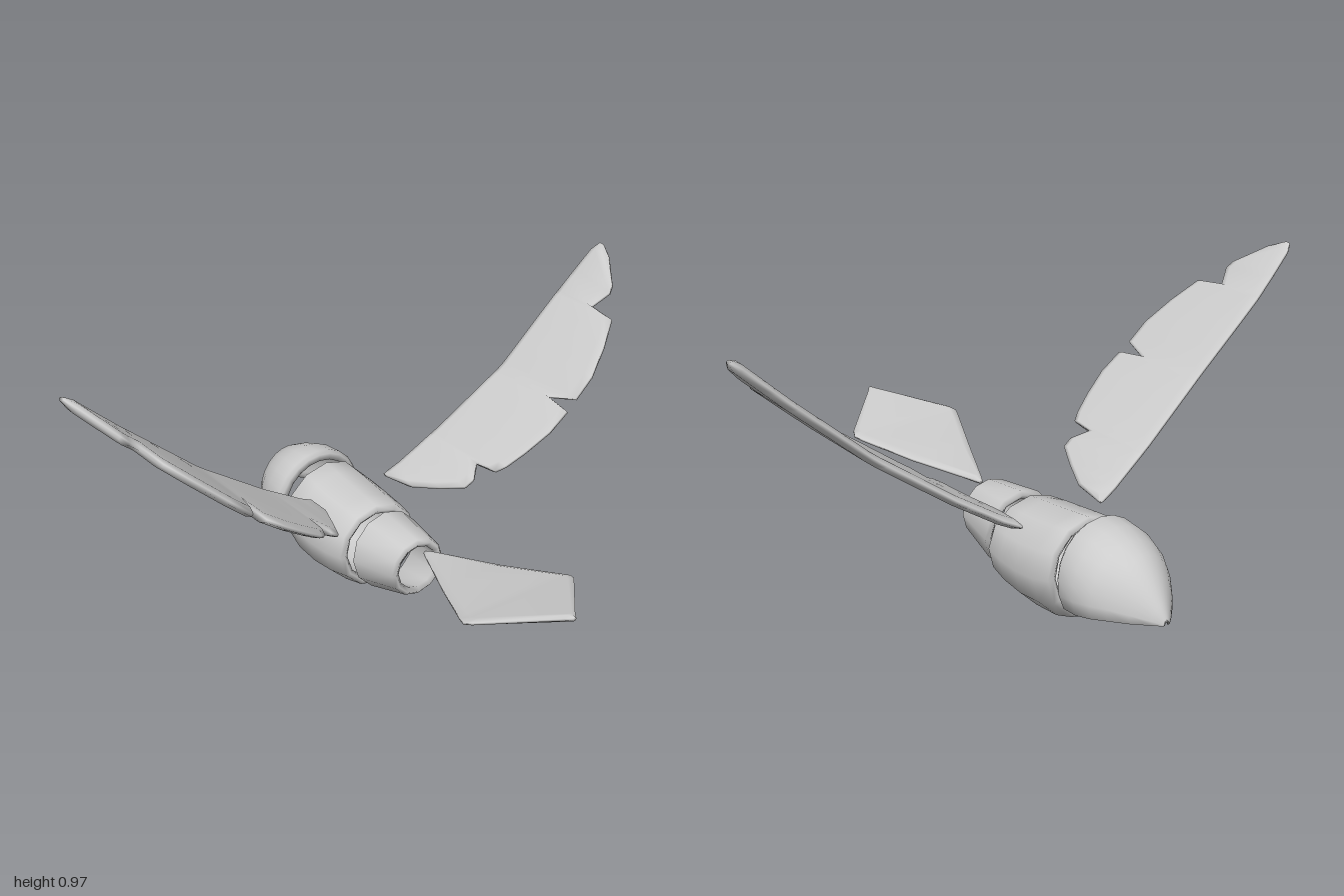
import * as THREE from 'three';

const grey = new THREE.MeshStandardMaterial({ color: 0xcccccc });
grey.name = 'plain grey';

const V = (x, y, z) => new THREE.Vector3(x, y, z);

// Piecewise linear lookup through [position, value] pairs
function interp(pairs, t) {
  for (let i = 1; i < pairs.length; i++) {
    const [a, va] = pairs[i - 1], [b, vb] = pairs[i];
    if (t <= b || i === pairs.length - 1) return va + (vb - va) * (t - a) / (b - a);
  }
}

// Skin a list of closed rings; either wrap last to first or cap both ends
function loft(name, rings, wrap = false) {
  const n = rings.length, m = rings[0].length, idx = [];
  const quad = (a, b, c, d) => idx.push(a, b, d, b, c, d);
  for (let i = 0; i < (wrap ? n : n - 1); i++) {
    const p = i * m, q = ((i + 1) % n) * m;
    for (let j = 0; j < m; j++) {
      const k = (j + 1) % m;
      quad(p + j, p + k, q + k, q + j);
    }
  }
  if (!wrap) {
    const e = (n - 1) * m;
    for (let j = 0; j < m / 2 - 1; j++) {
      quad(j, m - 1 - j, m - 2 - j, j + 1);
      quad(e + j, e + j + 1, e + m - 2 - j, e + m - 1 - j);
    }
  }
  // Turn the faces outward when the enclosed volume is negative
  const pts = rings.flat();
  let volume = 0;
  for (let i = 0; i < idx.length; i += 3) {
    volume += pts[idx[i]].dot(V(0, 0, 0).crossVectors(pts[idx[i + 1]], pts[idx[i + 2]]));
  }
  if (volume < 0) idx.reverse();
  const geo = new THREE.BufferGeometry().setFromPoints(pts);
  geo.setIndex(idx);
  geo.computeVertexNormals();
  const mesh = new THREE.Mesh(geo, grey);
  mesh.name = name;
  return mesh;
}

// Hollow body segment; stations are [xTop, yTop, xBottom, yBottom, halfWidth]
function tube(name, stations, wall) {
  const sides = 12;
  const ring = ([xt, yt, xb, yb, w], inset) => {
    const pts = [];
    for (let j = 0; j < sides; j++) {
      const a = j / sides * Math.PI * 2, u = (1 + Math.cos(a)) / 2;
      pts.push(V(xb + (xt - xb) * u, yb + inset + (yt - yb - 2 * inset) * u, Math.sin(a) * (w - inset)));
    }
    return pts;
  };
  const outer = stations.map(s => ring(s, 0));
  const inner = stations.slice(1, -1).reverse().map(s => ring(s, wall));
  return loft(name, [...outer, ...inner], true);
}

// Flat bevelled section from a to b with half thickness h
function plate(a, b, h, place) {
  const e = Math.min(0.025, (b - a) / 3);
  const top = [[a, 0.3 * h], [a + e, h], [b - e, h], [b, 0.3 * h]];
  const bottom = top.map(([s, t]) => [s, -t]).reverse();
  return [...top, ...bottom].map(([s, t]) => place(s, t));
}

// Open-bottomed pointed head; stations are [xTop, xBottom, yTop, yCentre, yBottom, halfWidth]
function makeHead() {
  const steps = 14;
  const stations = [
    [-0.786, -0.786, 0.165, 0.148, 0.146, 0.012],
    [-0.765, -0.765, 0.205, 0.150, 0.147, 0.037],
    [-0.72, -0.72, 0.268, 0.155, 0.147, 0.083],
    [-0.67, -0.67, 0.315, 0.165, 0.146, 0.122],
    [-0.62, -0.625, 0.340, 0.178, 0.140, 0.148],
    [-0.56, -0.57, 0.361, 0.19, 0.130, 0.163],
    [-0.49, -0.505, 0.368, 0.2, 0.120, 0.163],
    [-0.476, -0.493, 0.358, 0.2, 0.122, 0.153],
  ];
  return loft('head', stations.map(([xt, xb, yt, yc, yb, w]) => {
    const arc = inset => {
      const h = Math.max(yt - yc - inset, (yt - yc) * 0.4);
      const hw = Math.max(w - inset, w * 0.4);
      const start = Math.asin(Math.max(-1, (yb - yc) / h)), pts = [];
      for (let j = 0; j <= steps; j++) {
        const a = start + (Math.PI - 2 * start) * j / steps;
        const y = yc + Math.sin(a) * h;
        pts.push(V(xb + (xt - xb) * (y - yb) / (yt - yb), y, Math.cos(a) * hw));
      }
      return pts;
    };
    return [...arc(0), ...arc(0.022).reverse()];
  }));
}

// Notched wing, rising outward along z
function makeWing(name) {
  const leading = [[0.15, -0.315], [0.6, -0.25], [0.82, -0.25], [0.97, -0.237], [1, -0.22]];
  const rise = [[0.15, 0.307], [0.2, 0.33], [0.36, 0.432], [0.6, 0.605], [0.85, 0.825], [1, 0.968]];
  const trailing = [
    [0.15, -0.295], [0.167, -0.18], [0.21, -0.085], [0.25, -0.005], [0.28, 0], [0.325, -0.04],
    [0.333, 0.045], [0.36, 0.065], [0.42, 0.09], [0.5, 0.113], [0.572, 0.112], [0.585, 0.01],
    [0.612, 0.108], [0.68, 0.105], [0.76, 0.07], [0.832, 0.025], [0.843, -0.08],
    [0.89, -0.05], [0.91, -0.06], [0.975, -0.15], [0.998, -0.2],
  ];
  return loft(name, trailing.map(([z, te], i) => {
    const slope = (interp(rise, z + 0.03) - interp(rise, z - 0.03)) / 0.06;
    const len = Math.hypot(slope, 1), y = interp(rise, z);
    const h = i === 0 || i === trailing.length - 1 ? 0.006 : 0.015;
    return plate(interp(leading, z), te, h, (x, t) => V(x, y + t / len, z - t * slope / len));
  }));
}

// Diamond tail, rising toward its tip; stations are [x, y, halfWidth, halfThickness]
function makeTail() {
  const stations = [
    [0.108, 0.264, 0.006, 0.006], [0.13, 0.267, 0.017, 0.011], [0.34, 0.289, 0.113, 0.012],
    [0.52, 0.319, 0.194, 0.012], [0.55, 0.325, 0.205, 0.012], [0.575, 0.332, 0.194, 0.012],
    [0.765, 0.379, 0.02, 0.011], [0.784, 0.384, 0.006, 0.006],
  ];
  return loft('tail', stations.map(([x, y, w, h]) => plate(-w, w, h, (z, t) => V(x, y + t, z))));
}

export function createModel() {
  const model = new THREE.Group();
  model.name = 'segmentedBird';
  model.add(makeHead());
  model.add(tube('body', [
    [-0.447, 0.333, -0.466, 0.052, 0.143], [-0.437, 0.347, -0.46, 0.03, 0.158],
    [-0.37, 0.338, -0.40, 0.01, 0.168], [-0.3, 0.329, -0.3, 0.003, 0.169],
    [-0.22, 0.32, -0.21, 0.012, 0.163], [-0.152, 0.311, -0.136, 0.03, 0.151],
    [-0.142, 0.296, -0.128, 0.045, 0.137],
  ], 0.028));
  model.add(tube('rump', [
    [-0.116, 0.298, -0.102, 0.057, 0.12], [-0.106, 0.31, -0.09, 0.045, 0.132],
    [0.066, 0.289, 0.07, 0.093, 0.1], [0.077, 0.279, 0.08, 0.104, 0.09],
  ], 0.026));
  model.add(makeTail());

  // Mirrored pair of wings
  const leftWing = makeWing('frontWing');
  const rightWing = makeWing('backWing');
  rightWing.scale.z = -1;
  model.add(leftWing, rightWing);
  return model;
}
